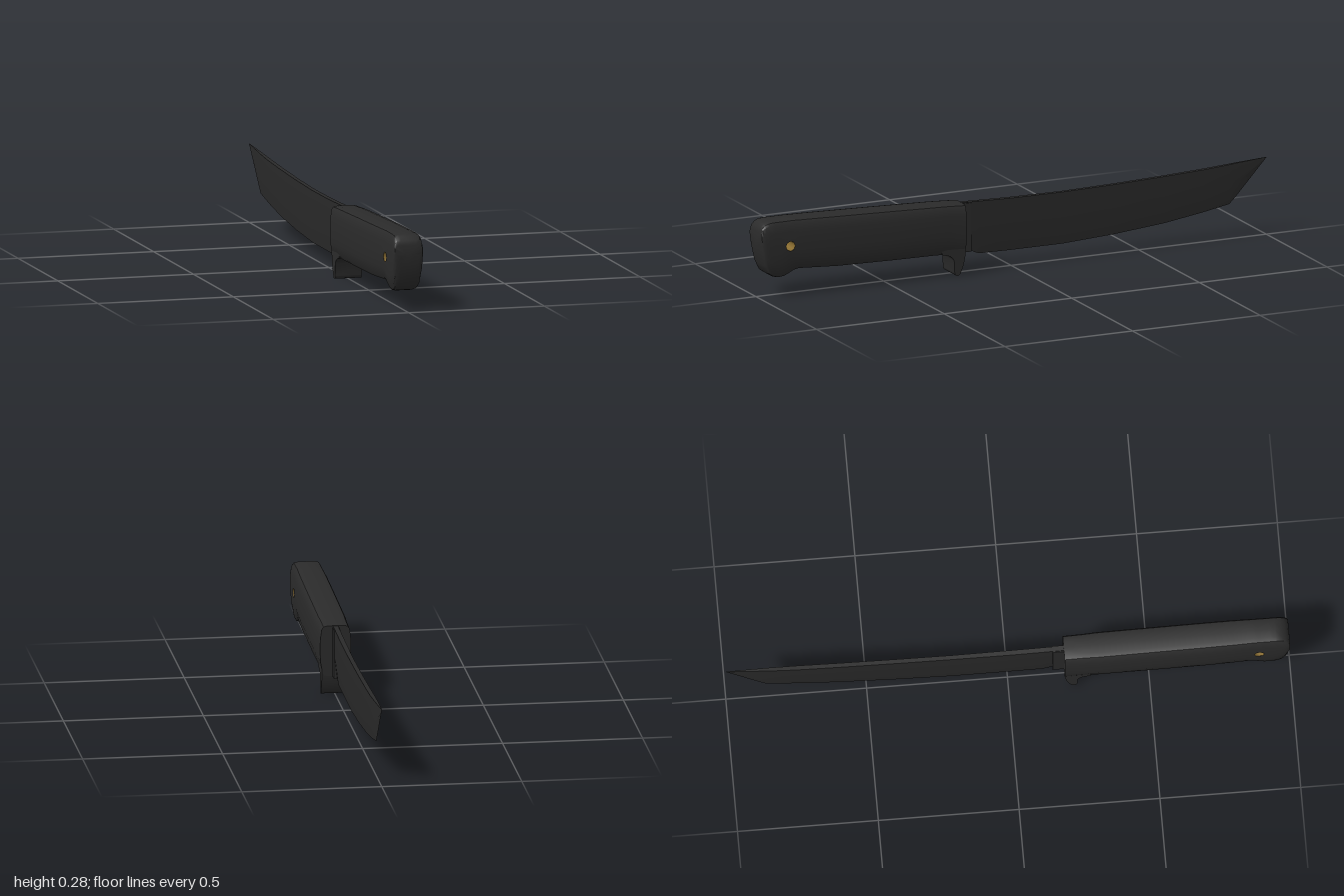
import * as THREE from 'three';
import { toCreasedNormals } from 'three/addons/utils/BufferGeometryUtils.js';

// Skin over closed rings of [x, y, z] points, ordered from +z to -z, with end caps
function loft(rings, skip = () => false) {
  const n = rings[0].length, last = rings.length - 1, idx = [];
  for (let i = 0; i < last; i++) for (let j = 0; j < n; j++) {
    if (skip(i, j)) continue;
    const a = i * n + j, b = i * n + (j + 1) % n;
    idx.push(a, a + n, b, b, a + n, b + n);
  }
  for (let j = 1; j < n - 1; j++) {
    idx.push(0, j, j + 1);
    idx.push(last * n, last * n + j + 1, last * n + j);
  }
  const g = new THREE.BufferGeometry();
  g.setAttribute('position', new THREE.Float32BufferAttribute(rings.flat(2), 3));
  g.setIndex(idx);
  return toCreasedNormals(g, 0.6);
}

export function createModel() {
  const group = new THREE.Group();
  const mat = (name, color, side = THREE.FrontSide) => {
    const m = new THREE.MeshStandardMaterial({ color, side });
    m.name = name;
    return m;
  };
  const black = mat('black rubber', 0x2b2b2b);
  const steel = mat('blackened steel', 0x2a2a2a);
  const brass = mat('brass', 0x8a6d30, THREE.DoubleSide);
  const add = (name, geo, material) => {
    const m = new THREE.Mesh(geo, material);
    m.name = name;
    group.add(m);
    return m;
  };

  // Handle: stations [z, bottom, top, width scale]
  const stations = [
    [1, 0.205, 0.242, 0.88], [0.996, 0.17, 0.258, 0.92], [0.985, 0.12, 0.27, 0.95],
    [0.97, 0.088, 0.277, 0.96], [0.95, 0.075, 0.279, 0.96], [0.93, 0.07, 0.279, 0.96],
    [0.908, 0.073, 0.279, 0.96], [0.89, 0.081, 0.279, 0.96], [0.872, 0.091, 0.279, 0.96],
    [0.85, 0.095, 0.278, 0.97], [0.8, 0.092, 0.277, 0.99], [0.7, 0.086, 0.274, 1],
    [0.5, 0.082, 0.268, 1], [0.32, 0.08, 0.262, 1], [0.27, 0.078, 0.26, 0.96], [0.2, 0.072, 0.256, 0.95]
  ];
  // Half section as [height fraction, half width]
  const half = [
    [0, 0], [0, 0.03], [0.015, 0.043], [0.06, 0.049], [0.25, 0.056], [0.42, 0.058], [0.54, 0.058],
    [0.66, 0.058], [0.8, 0.056], [0.93, 0.052], [0.98, 0.046], [1, 0.03], [1, 0]
  ];
  const section = [...half, ...half.slice(1, -1).reverse().map(([t, w]) => [t, -w])];
  const rings = stations.map(([z, b, t, s]) => section.map(([f, w]) => [w * s, b + f * (t - b), z]));

  // Lanyard hole: pull the grid around one node on each side onto a circle
  const hole = { z: 0.89, y: 0.185, r: 0.018, station: 7, columns: [6, 18] };
  hole.columns.forEach((col, side) => {
    for (let di = -1; di <= 1; di++) for (let dj = -1; dj <= 1; dj++) {
      const len = Math.hypot(di, dj) || 1;
      const p = rings[hole.station + di][col + dj];
      p[1] = hole.y + (side ? -dj : dj) / len * hole.r;
      p[2] = hole.z - di / len * hole.r;
    }
  });
  const inHole = (i, j) => (i === hole.station || i === hole.station - 1) &&
    hole.columns.some(c => j === c || j === c - 1);
  add('handle', loft(rings, inHole), black);

  // Brass lining of the hole
  const lining = add('lanyardTube', new THREE.CylinderGeometry(hole.r, hole.r, 0.111, 8, 1, true), brass);
  lining.rotation.z = Math.PI / 2;
  lining.position.set(0, hole.y, hole.z);

  // Finger guard hanging below the front of the handle
  const g = new THREE.Shape();
  g.moveTo(0.3, 0.1);
  g.lineTo(0.29, 0.081);
  g.quadraticCurveTo(0.25, 0.078, 0.245, 0.05);
  g.lineTo(0.244, 0.012);
  g.quadraticCurveTo(0.242, 0, 0.232, 0);
  g.quadraticCurveTo(0.224, 0, 0.218, 0.015);
  g.quadraticCurveTo(0.204, 0.045, 0.2, 0.09);
  g.lineTo(0.2, 0.1);
  const guard = new THREE.ExtrudeGeometry(g, { depth: 0.098, bevelEnabled: false, curveSegments: 8 });
  guard.translate(0, 0, -0.049).rotateY(-Math.PI / 2);
  add('fingerGuard', toCreasedNormals(guard, 0.6), black);

  // Blade: stations [z, edge y, spine y, half thickness]
  const bladeStations = [
    [0.22, 0.074, 0.255, 0.009], [0.155, 0.073, 0.253, 0.009], [0.145, 0.066, 0.253, 0.009],
    [0.125, 0.059, 0.252, 0.009], [0, 0.057, 0.249, 0.009], [-0.2, 0.057, 0.248, 0.008],
    [-0.4, 0.068, 0.252, 0.008], [-0.6, 0.086, 0.259, 0.008], [-0.75, 0.108, 0.266, 0.008],
    [-0.855, 0.127, 0.273, 0.006], [-0.88, 0.151, 0.275, 0.005], [-0.94, 0.216, 0.279, 0.003],
    [-1, 0.281, 0.283, 0.0005]
  ];
  add('blade', loft(bladeStations.map(([z, b, t, w]) => {
    const m = b + 0.4 * (t - b);
    return [[0, b, z], [w, m, z], [w, t, z], [-w, t, z], [-w, m, z]];
  })), steel);

  // Thicker unsharpened root of the blade
  const root = add('bladeRoot', new THREE.BoxGeometry(0.024, 0.178, 0.05), steel);
  root.position.set(0, 0.161, 0.185);

  return group;
}
